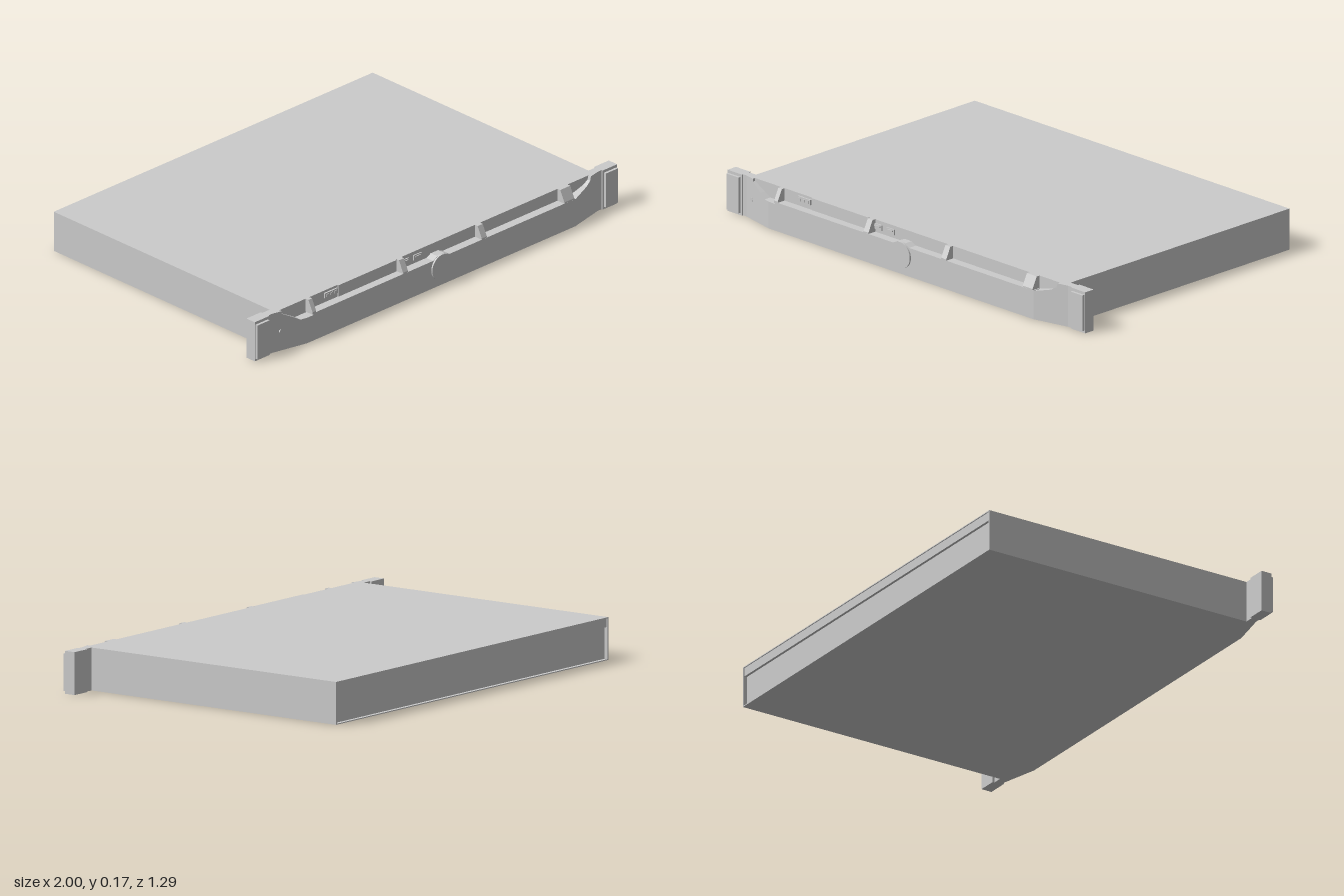
import * as THREE from 'three';

const H = 0.172;
const BACK = 0.6; // plane of the chassis front, behind the bezel

export function createModel() {
  const root = new THREE.Group();
  const mat = new THREE.MeshStandardMaterial({ color: 0xcccccc, flatShading: true });

  const add = (name, geo) => {
    const mesh = new THREE.Mesh(geo, mat);
    mesh.name = name;
    root.add(mesh);
    return mesh;
  };
  const box = (name, x0, x1, y0, y1, z0, z1) => {
    const m = add(name, new THREE.BoxGeometry(x1 - x0, y1 - y0, z1 - z0));
    m.position.set((x0 + x1) / 2, (y0 + y1) / 2, (z0 + z1) / 2);
    return m;
  };

  // Bezel depth: flat in the middle, tapering back towards the ears
  const frontZ = (x) => 0.638 - 0.038 * Math.max(0, Math.abs(x) - 0.74) / 0.17;
  const bezelPart = (name, pts) => {
    const shape = new THREE.Shape(pts.map(([x, y]) => new THREE.Vector2(x, y)));
    const geo = new THREE.ExtrudeGeometry(shape, { depth: 1, bevelEnabled: false });
    const p = geo.attributes.position;
    for (let i = 0; i < p.count; i++) {
      p.setZ(i, p.getZ(i) > 0.5 ? frontZ(p.getX(i)) + 0.0005 : BACK - 0.005);
    }
    geo.computeVertexNormals();
    return add(name, geo);
  };

  // Chassis with a stepped, framed rear
  box('chassis', -0.88, 0.88, 0, H, -0.63, BACK);
  box('rearUpperPanel', -0.875, 0.875, 0.132, H - 0.004, -0.641, -0.63);
  box('rearTopLip', -0.88, 0.88, H - 0.004, H, -0.645, -0.63);
  box('rearBottomLip', -0.88, 0.88, 0, 0.004, -0.645, -0.63);
  for (const s of [-1, 1]) {
    const a = s * 0.88, b = s * 0.874;
    box('rearSideLip', Math.min(a, b), Math.max(a, b), 0, H, -0.645, -0.63);
  }

  // Bezel: centre band with a small bump over the badge, and two tapered ends
  bezelPart('bezelCentre', [
    [-0.74, 0], [0.74, 0], [0.74, 0.12], [0.045, 0.12], [0.02, 0.132],
    [-0.02, 0.132], [-0.045, 0.12], [-0.705, 0.12], [-0.705, 0.112], [-0.74, 0.112],
  ]);
  bezelPart('bezelLeftEnd', [
    [0.74, 0], [0.91, 0], [0.91, H], [0.85, H], [0.845, 0.155], [0.82, 0.14], [0.74, 0.118],
  ]);
  bezelPart('bezelRightEnd', [
    [-0.74, 0], [-0.74, 0.112], [-0.77, 0.112], [-0.8, 0.13], [-0.855, 0.16], [-0.855, H],
    [-0.91, H], [-0.91, 0],
  ]);

  // Sloping ribs between the pockets
  const ribProfile = [[BACK - 0.005, 0.115], [0.638, 0.115], [0.638, 0.125], [0.615, H], [BACK - 0.005, H]];
  for (const [x0, x1] of [[-0.71, -0.69], [-0.21, -0.183], [0.224, 0.252], [0.68, 0.735]]) {
    const shape = new THREE.Shape(ribProfile.map(([z, y]) => new THREE.Vector2(-z, y)));
    const geo = new THREE.ExtrudeGeometry(shape, { depth: x1 - x0, bevelEnabled: false });
    geo.rotateY(Math.PI / 2);
    add('bezelRib', geo).position.x = x0;
  }

  // Raised panel and sockets inside the pockets
  box('pocketPanel', -0.535, -0.215, 0.122, H, BACK, 0.606);
  box('displaySocket', -0.61, -0.54, 0.14, 0.162, BACK, 0.607);
  for (let i = 0; i < 3; i++) {
    box('socketPin', -0.602 + i * 0.022, -0.59 + i * 0.022, 0.145, 0.157, BACK, 0.61);
  }
  for (const x of [-0.165, -0.095]) {
    box('portFrame', x - 0.022, x + 0.022, 0.134, 0.157, BACK, 0.605);
    box('portTongue', x - 0.015, x + 0.015, 0.146, 0.152, BACK, 0.609);
  }

  // Round plain badge
  const badge = add('badge', new THREE.CylinderGeometry(0.055, 0.055, 0.012, 40));
  badge.rotation.x = Math.PI / 2;
  badge.position.set(0, 0.08, 0.639);

  // Mounting ears: a flange, an outer block and a raised front grip
  for (const s of [-1, 1]) {
    const ear = (name, a, b, y0, y1, z0, z1) =>
      box(name, Math.min(s * a, s * b), Math.max(s * a, s * b), y0, y1, z0, z1);
    ear('earFlange', 0.87, 0.93, 0, H, 0.57, 0.603);
    ear('earBlock', 0.92, 1, 0, H, 0.562, 0.609);
    ear('earGrip', 0.928, 0.995, 0.01, 0.16, 0.6, 0.62);
  }
  // Small lock button on the right end of the bezel
  const lock = add('lockButton', new THREE.CylinderGeometry(0.008, 0.008, 0.012, 16));
  lock.rotation.x = Math.PI / 2;
  lock.position.set(-0.86, 0.085, frontZ(0.86) - 0.002);

  return root;
}
